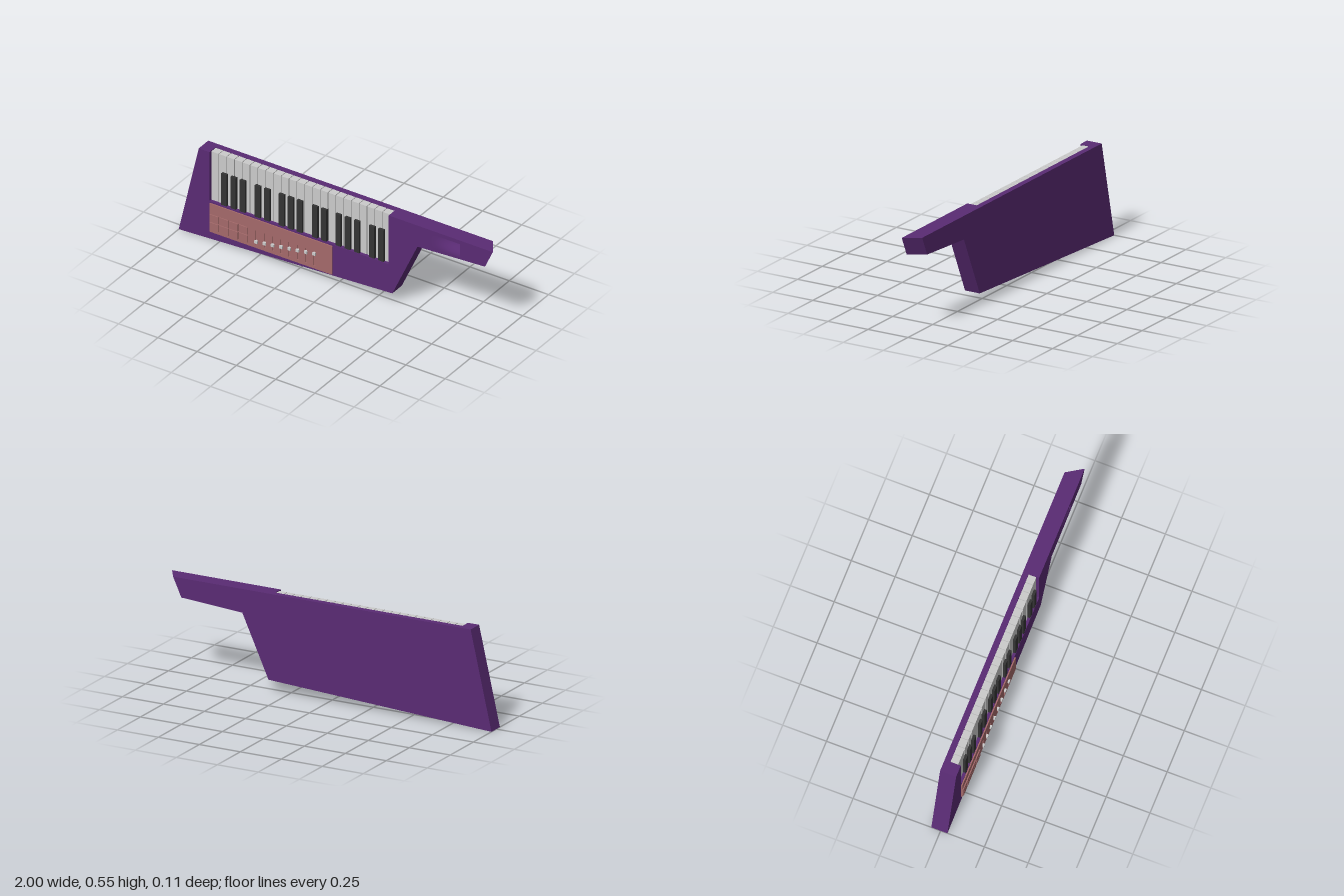
import * as THREE from 'three';

const material = (color, extra = {}) => new THREE.MeshStandardMaterial({ color, ...extra });
const purple = material(0x5a2b74);
const purpleOpen = material(0x5a2b74, { side: THREE.DoubleSide });
const brown = material(0xa4696a);
const grey = material(0xcccccc);
const black = material(0x343434);

const shapeOf = (points) => new THREE.Shape(points.map(([x, y]) => new THREE.Vector2(x, y)));
const rectPoints = (x0, y0, x1, y1) => [[x0, y0], [x1, y0], [x1, y1], [x0, y1]];

function addMesh(parent, name, geometry, mat) {
  const mesh = new THREE.Mesh(geometry, mat);
  mesh.name = name;
  parent.add(mesh);
  return mesh;
}

// Box given by its lower and upper corners
function addBox(parent, name, [x0, y0, z0], [x1, y1, z1], mat) {
  const mesh = addMesh(parent, name, new THREE.BoxGeometry(x1 - x0, y1 - y0, z1 - z0), mat);
  mesh.position.set((x0 + x1) / 2, (y0 + y1) / 2, (z0 + z1) / 2);
  return mesh;
}

// Extrude a shape from z0 to z1
function slab(shape, z0, z1) {
  return new THREE.ExtrudeGeometry(shape, { depth: z1 - z0, bevelEnabled: false }).translate(0, 0, z0);
}

const TOP = 0.553, BACK = -0.053, FRONT = 0.039, FLOOR = -0.02;
const KEYS = { x0: -0.805, x1: 0.337, y0: 0.245, count: 23 };
const SCOOP = { x0: 0.6, x1: 0.79, y0: 0.448, y1: 0.53, depth: 0.032 };

// Slant the neck end so that it is shorter at the back
function slantEnd(geometry) {
  const p = geometry.attributes.position;
  for (let i = 0; i < p.count; i++) {
    if (p.getX(i) > 0.9) p.setX(i, p.getX(i) + (p.getZ(i) - FRONT) * 0.63);
  }
  geometry.computeVertexNormals();
  return geometry;
}

function createBody() {
  const body = new THREE.Group();
  body.name = 'body';
  const outline = [[-1, 0], [0.36, 0.07], [0.52, 0.42], [0.95, 0.444], [1, TOP]];
  const corner = [-0.873, TOP];
  const notch = [[KEYS.x1, TOP], [KEYS.x1, KEYS.y0], [KEYS.x0, KEYS.y0], [KEYS.x0, TOP]];

  addMesh(body, 'bodyBack', slantEnd(slab(shapeOf([...outline, corner]), BACK, FLOOR)), purple);

  // Front layer with the key bed and the thumb scoop cut out
  const front = shapeOf([...outline, ...notch, corner]);
  front.holes.push(shapeOf(rectPoints(SCOOP.x0, SCOOP.y0, SCOOP.x1, SCOOP.y1)));
  addMesh(body, 'bodyFront', slantEnd(slab(front, FLOOR, FRONT)), purple);

  // Thumb scoop, deepening towards its upper right corner
  const w = SCOOP.x1 - SCOOP.x0, h = SCOOP.y1 - SCOOP.y0;
  const scoop = new THREE.PlaneGeometry(w, h, 16, 12);
  scoop.translate(SCOOP.x0 + w / 2, SCOOP.y0 + h / 2, FRONT);
  const p = scoop.attributes.position;
  for (let i = 0; i < p.count; i++) {
    const u = THREE.MathUtils.smoothstep((p.getX(i) - SCOOP.x0) / w, 0, 0.9);
    const v = THREE.MathUtils.smoothstep((p.getY(i) - SCOOP.y0) / h, 0, 1);
    p.setZ(i, FRONT - SCOOP.depth * u * v);
  }
  scoop.computeVertexNormals();
  addMesh(body, 'thumbScoop', scoop, purpleOpen);
  return body;
}

function createKeyboard() {
  const keyboard = new THREE.Group();
  keyboard.name = 'keyboard';
  const pitch = (KEYS.x1 - KEYS.x0) / KEYS.count;
  for (let i = 0; i < KEYS.count; i++) {
    const x = KEYS.x0 + i * pitch;
    addBox(keyboard, 'whiteKey', [x + 0.002, KEYS.y0 + 0.002, FLOOR],
      [x + pitch - 0.002, TOP - 0.003, 0.023], grey);
  }
  // Black keys in groups of three and two
  const centres = [-0.714, -0.655, -0.596, -0.5, -0.441, -0.348, -0.291, -0.233,
    -0.136, -0.079, 0.013, 0.072, 0.131, 0.227, 0.286];
  for (const x of centres) {
    addBox(keyboard, 'blackKey', [x - 0.017, KEYS.y0 + 0.002, FLOOR], [x + 0.017, 0.445, 0.038], black);
  }
  return keyboard;
}

function createControls() {
  const controls = new THREE.Group();
  controls.name = 'controlPanel';
  const sliders = Array.from({ length: 8 }, (_, i) => -0.5 + i * 0.0526);

  // Panel plate with slider slots
  const edge = rectPoints(-0.8, 0.058, -0.02, 0.236);
  const plate = shapeOf(edge);
  for (const x of sliders) plate.holes.push(shapeOf(rectPoints(x - 0.006, 0.078, x + 0.006, 0.168)));
  addMesh(controls, 'panelBase', slab(shapeOf(edge), FRONT - 0.003, 0.041), brown);
  addMesh(controls, 'panelPlate', slab(plate, 0.041, 0.046), brown);

  // Slider caps set in a rising row
  sliders.forEach((x, i) => {
    const y = 0.099 + i * 0.0077;
    addBox(controls, 'sliderCap', [x - 0.009, y - 0.008, 0.041], [x + 0.009, y + 0.008, 0.055], grey);
  });

  // Two rows of four pads
  for (let row = 0; row < 2; row++) {
    for (let col = 0; col < 4; col++) {
      const x = -0.796 + col * 0.062, y = 0.076 + row * 0.05;
      addBox(controls, 'pad', [x, y, 0.044], [x + 0.056, y + 0.045, 0.052], brown);
    }
  }
  return controls;
}

export function createModel() {
  const model = new THREE.Group();
  model.name = 'shoulderKeyboard';
  model.add(createBody(), createKeyboard(), createControls());
  return model;
}
